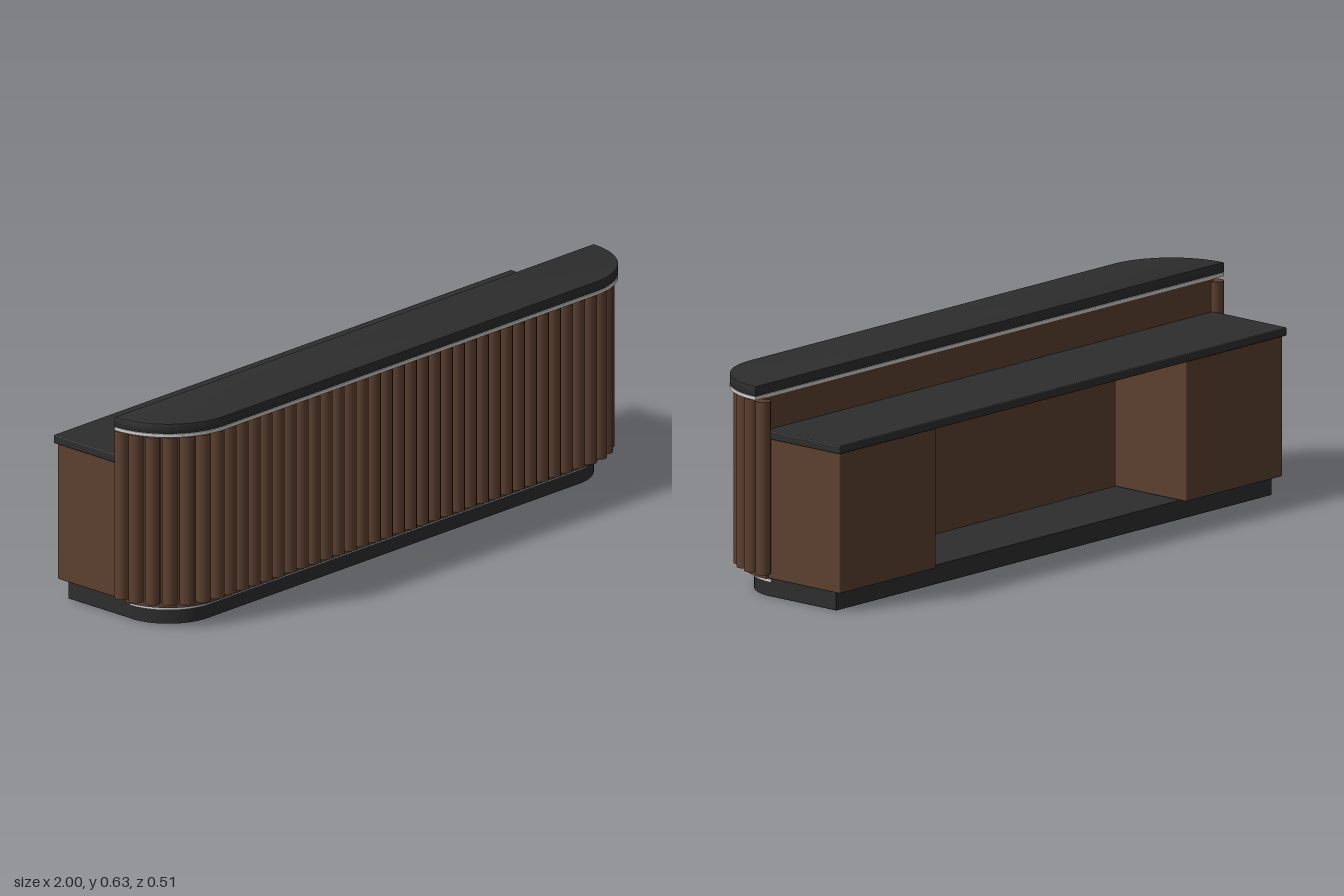
import * as THREE from 'three';
import { toCreasedNormals } from 'three/addons/utils/BufferGeometryUtils.js';
import { RoundedBoxGeometry } from 'three/addons/geometries/RoundedBoxGeometry.js';

const BACK = 0.03; // straight rear edge of the front counter

export function createModel() {
  const wood = new THREE.MeshStandardMaterial({ color: 0x5c4030 });
  wood.name = 'walnut wood';
  const dark = new THREE.MeshStandardMaterial({ color: 0x2d2d2d });
  dark.name = 'charcoal';
  const steel = new THREE.MeshStandardMaterial({ color: 0xcfcfcf });
  steel.name = 'brushed steel';

  const model = new THREE.Group();
  model.name = 'receptionCounter';

  function add(name, geometry, material, parent = model) {
    const mesh = new THREE.Mesh(geometry, material);
    mesh.name = name;
    parent.add(mesh);
    return mesh;
  }

  // Slab with a straight rear edge and two quarter-round front corners
  function slab(name, halfWidth, front, y0, y1, material, bevel = 0) {
    const r = front - BACK;
    const s = new THREE.Shape();
    s.moveTo(-halfWidth, BACK);
    s.lineTo(halfWidth, BACK);
    s.absarc(halfWidth - r, BACK, r, 0, Math.PI / 2, false);
    s.absarc(-halfWidth + r, BACK, r, Math.PI / 2, Math.PI, false);
    const g = new THREE.ExtrudeGeometry(s, {
      depth: y1 - y0 - 2 * bevel, curveSegments: 20,
      bevelEnabled: bevel > 0, bevelThickness: bevel, bevelSize: bevel,
      bevelOffset: -bevel, bevelSegments: 2,
    });
    g.rotateX(Math.PI / 2);
    g.translate(0, y1 - bevel, 0);
    return add(name, toCreasedNormals(g, 0.6), material);
  }

  function box(name, x0, x1, y0, y1, z0, z1, material, radius = 0.003) {
    const g = new RoundedBoxGeometry(x1 - x0, y1 - y0, z1 - z0, 2, radius);
    g.translate((x0 + x1) / 2, (y0 + y1) / 2, (z0 + z1) / 2);
    return add(name, g, material);
  }

  // Front counter, from the floor up
  slab('frontPlinth', 0.93, 0.185, 0, 0.057, dark);
  slab('lowerTrim', 0.935, 0.19, 0.043, 0.052, steel);
  slab('counterCore', 0.955, 0.21, 0.057, 0.592, wood);
  slab('upperTrim', 1.0, 0.255, 0.592, 0.602, steel);
  slab('counterTop', 1.0, 0.254, 0.602, 0.633, dark, 0.003);

  // Rounded slats set evenly along the curved front
  const slats = new THREE.Group();
  slats.name = 'slats';
  model.add(slats);
  const slatRadius = 0.022, bend = 0.193, straight = 0.775;
  const arc = bend * Math.PI / 2, total = 2 * (arc + straight), count = 43;
  const slatGeometry = new THREE.CylinderGeometry(slatRadius, slatRadius, 0.51, 16);
  for (let i = 0; i <= count; i++) {
    const d = (i / count - 0.5) * total; // signed distance from the middle
    const past = Math.max(0, Math.abs(d) - straight) / bend;
    const x = Math.min(Math.abs(d), straight) + bend * Math.sin(past);
    const slat = add('slat', slatGeometry, wood, slats);
    slat.position.set(Math.sign(d) * x, 0.33, BACK + bend * Math.cos(past));
  }

  // Rear work desk with a pedestal at each end
  box('rearPlinth', -0.93, 0.93, 0, 0.057, -0.218, 0.045, dark, 0.002);
  box('deskTop', -0.955, 0.955, 0.471, 0.496, -0.253, 0.032, dark);
  for (const [name, side] of [['left', 1], ['right', -1]]) {
    const a = side * 0.945, b = side * 0.535;
    box(name + 'Pedestal', Math.min(a, b), Math.max(a, b), 0.057, 0.471, -0.245, 0.032, wood);
  }
  return model;
}
